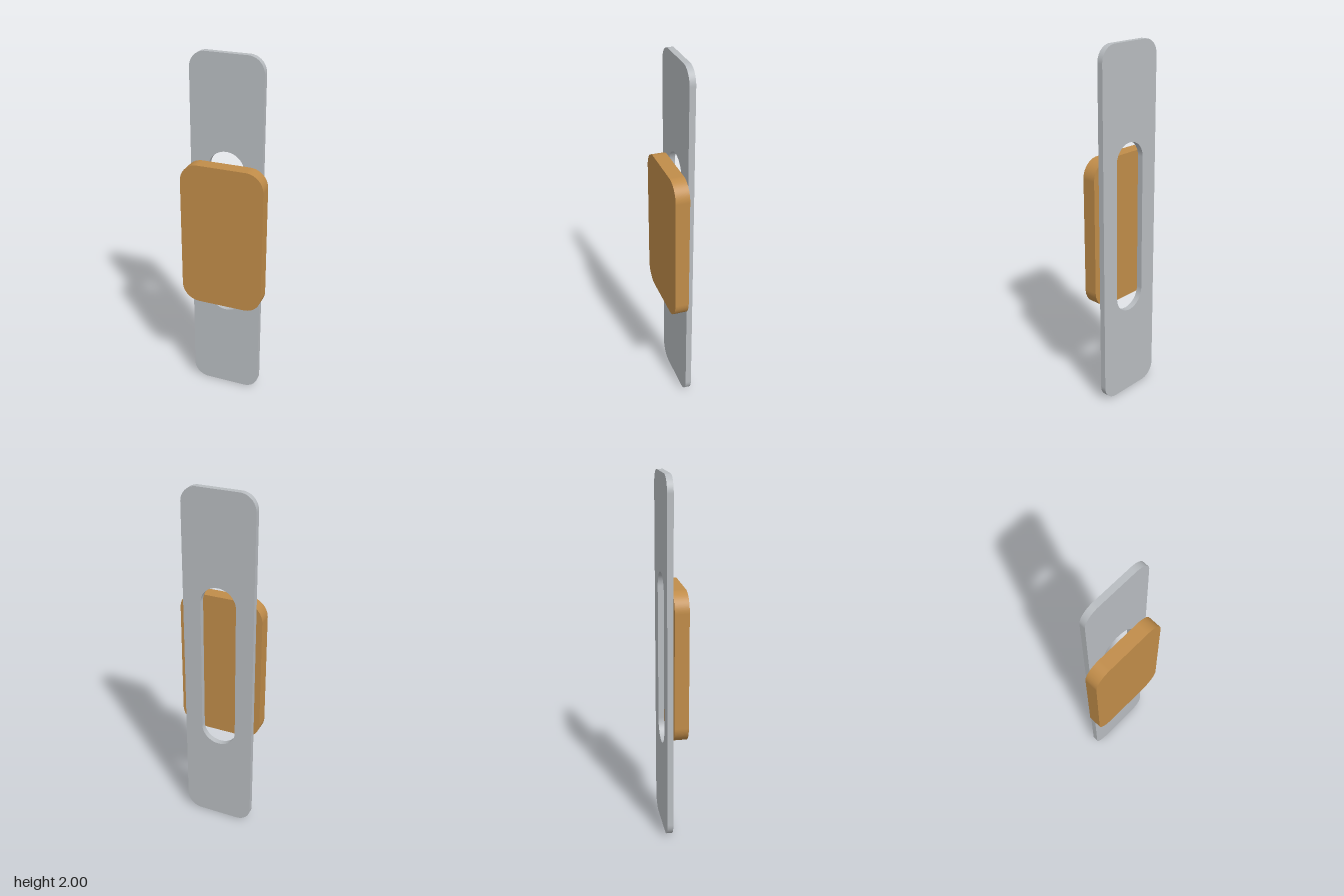
import * as THREE from 'three';

// Rounded rectangle centred on the origin, traced counter-clockwise
function roundedRect(path, w, h, r) {
  const x = w / 2 - r, y = h / 2 - r;
  path.moveTo(x, -y - r);
  path.absarc(x, -y, r, -Math.PI / 2, 0);
  path.absarc(x, y, r, 0, Math.PI / 2);
  path.absarc(-x, y, r, Math.PI / 2, Math.PI);
  path.absarc(-x, -y, r, Math.PI, Math.PI * 1.5);
  path.closePath();
  return path;
}

// Extrude a shape from zBack to zFront, centred at height y
function slab(name, shape, y, zBack, zFront, material) {
  const geometry = new THREE.ExtrudeGeometry(shape, {
    depth: zFront - zBack, bevelEnabled: false, curveSegments: 20,
  });
  const mesh = new THREE.Mesh(geometry, material);
  mesh.name = name;
  mesh.position.set(0, y, zBack);
  return mesh;
}

export function createModel() {
  const steel = new THREE.MeshStandardMaterial({ color: 0xb8bcc0 });
  steel.name = 'steel grey';
  const brass = new THREE.MeshStandardMaterial({ color: 0xc08c49 });
  brass.name = 'warm brass';

  const model = new THREE.Group();
  model.name = 'slottedPlateWithBlock';

  // Long back plate with a round-ended slot through its middle
  const plate = roundedRect(new THREE.Shape(), 0.4, 2, 0.087);
  plate.holes.push(roundedRect(new THREE.Path(), 0.2, 0.972, 0.0999));
  model.add(slab('backPlate', plate, 1, -0.055, -0.022, steel));

  // Thick cover block on the front of the plate
  const block = roundedRect(new THREE.Shape(), 0.466, 0.832, 0.1);
  model.add(slab('coverBlock', block, 1.003, -0.022, 0.055, brass));

  return model;
}
